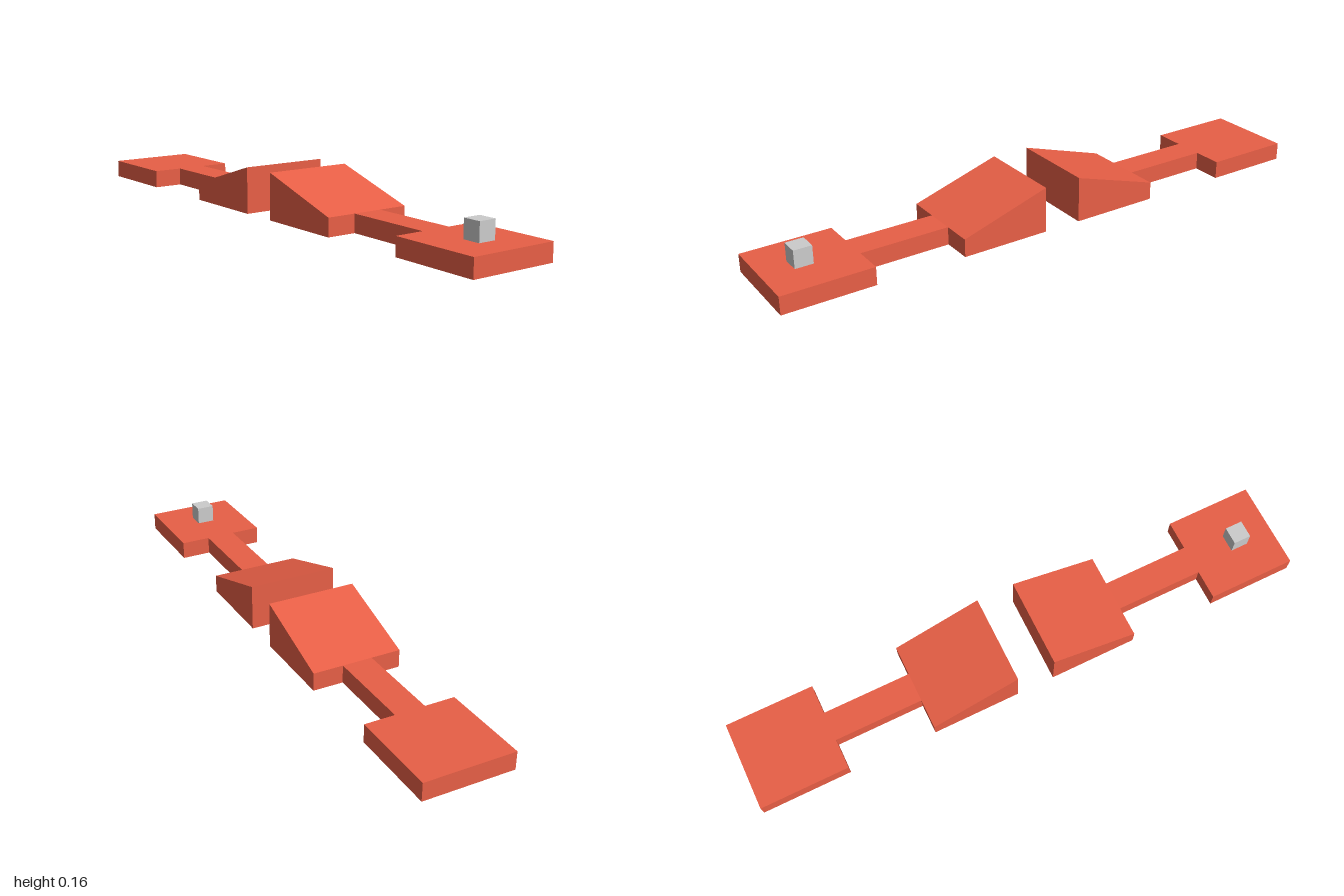
import * as THREE from 'three';

const WIDTH = 0.3125, THICK = 0.0625, RAMP_TOP = 0.16;
const Z_OUT = 1, Z_PAD = 0.689, Z_RAMP = 0.378, Z_LIP = 0.067;

export function createModel() {
  const model = new THREE.Group();
  model.name = 'rampTrack';
  const red = new THREE.MeshStandardMaterial({ color: 0xe85f46, flatShading: true });
  const grey = new THREE.MeshStandardMaterial({ color: 0xcccccc, flatShading: true });

  // box resting on height y, spanning z0 to z1
  const slab = (parent, name, width, height, y, z0, z1, material) => {
    const mesh = new THREE.Mesh(new THREE.BoxGeometry(width, height, z1 - z0), material);
    mesh.position.set(0, y + height / 2, (z0 + z1) / 2);
    mesh.name = name;
    parent.add(mesh);
  };

  // side profile of the ramp, extruded across the track
  const profile = new THREE.Shape([
    new THREE.Vector2(-Z_RAMP, 0),
    new THREE.Vector2(-Z_LIP, 0),
    new THREE.Vector2(-Z_LIP, RAMP_TOP),
    new THREE.Vector2(-Z_RAMP, THICK),
  ]);
  const rampGeometry = new THREE.ExtrudeGeometry(profile, { depth: WIDTH, bevelEnabled: false });
  rampGeometry.translate(0, 0, -WIDTH / 2).rotateY(Math.PI / 2);

  // two identical halves facing each other across the gap
  for (const [name, turn] of [['frontHalf', 0], ['backHalf', Math.PI]]) {
    const half = new THREE.Group();
    half.name = name;
    half.rotation.y = turn;
    slab(half, 'endPad', WIDTH, THICK, 0, Z_PAD, Z_OUT, red);
    slab(half, 'narrowBridge', WIDTH / 3, THICK, 0, Z_RAMP, Z_PAD, red);
    const ramp = new THREE.Mesh(rampGeometry, red);
    ramp.name = 'ramp';
    half.add(ramp);
    model.add(half);
  }

  // small cube standing on the front pad
  slab(model, 'cube', 0.0625, 0.0625, THICK, 0.834, 0.896, grey);
  return model;
}
